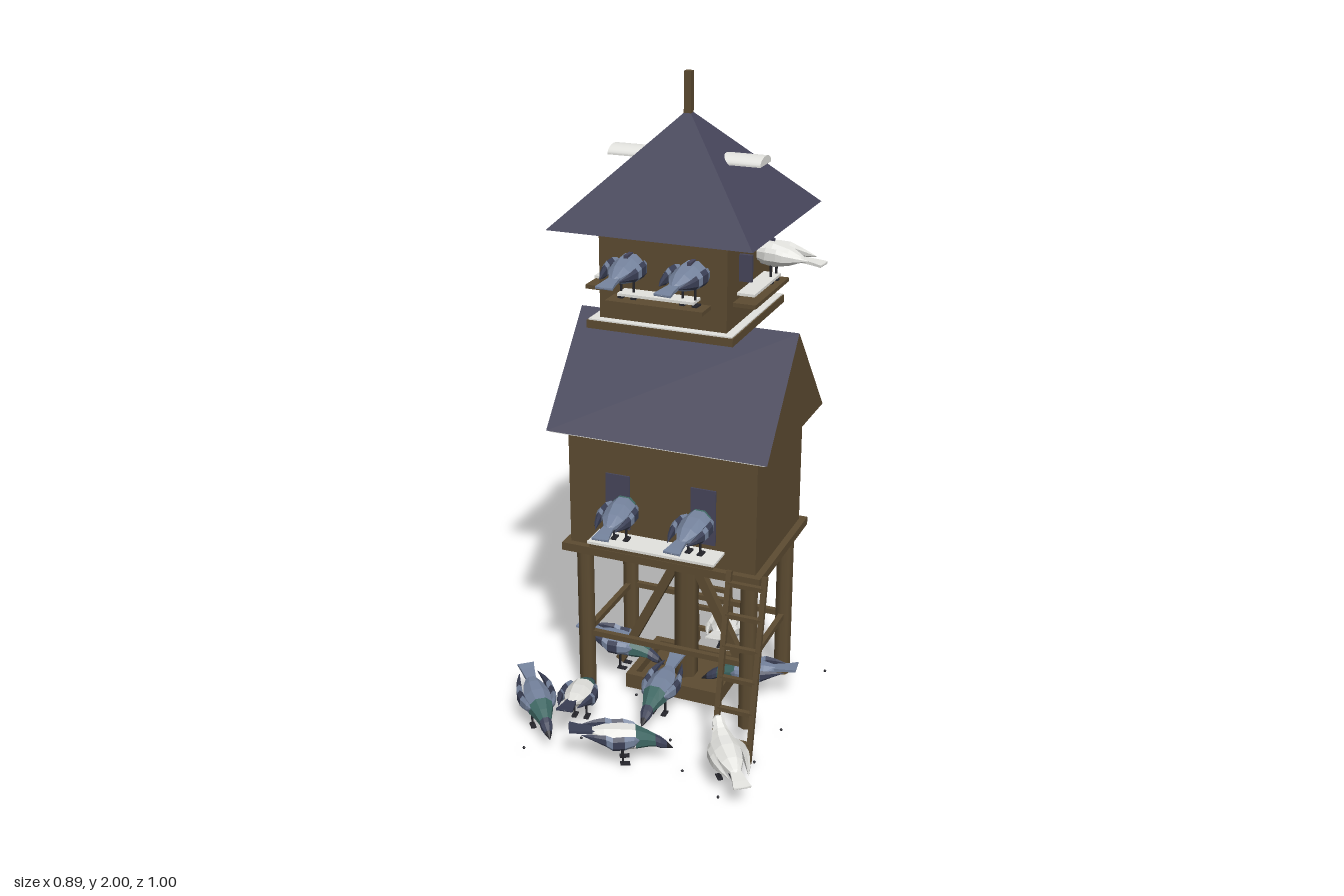
import * as THREE from 'three';

const mat = (name, color) => Object.assign(new THREE.MeshStandardMaterial({ color }), { name });
const wood = mat('brown wood', 0x5c4b31), slate = mat('slate blue', 0x46455a), white = mat('white', 0xe2e2de);
const grey = mat('pigeon grey', 0x74829c), dark = mat('dark feather', 0x3b4056), teal = mat('teal neck', 0x3d6662);
const black = mat('dark leg', 0x26262c);
const CX = 0.012, CZ = -0.106; // centre of the tower

function add(parent, name, geo, material, x = 0, y = 0, z = 0) {
  const m = new THREE.Mesh(geo, material);
  m.name = name;
  m.position.set(x, y, z);
  parent.add(m);
  return m;
}
const box = (p, name, m, w, h, d, x, y, z) => add(p, name, new THREE.BoxGeometry(w, h, d), m, x, y, z);

// straight square bar between two points
function bar(p, name, a, b, t) {
  const A = new THREE.Vector3(...a), B = new THREE.Vector3(...b);
  const m = box(p, name, wood, t, A.distanceTo(B), t, 0, 0, 0);
  m.position.copy(A).add(B).multiplyScalar(0.5);
  m.quaternion.setFromUnitVectors(new THREE.Vector3(0, 1, 0), B.sub(A).normalize());
}

// rectangular frame of four bars
function frame(p, name, m, w, d, h, t, y) {
  for (const s of [-1, 1]) {
    box(p, name, m, w, h, t, 0, y, s * (d - t) / 2);
    box(p, name, m, t, h, d - 2 * t, s * (w - t) / 2, y, 0);
  }
}

function ladder(p, name, x, w, y0, z0, y1, z1, rungs) {
  const g = new THREE.Group();
  g.name = name;
  p.add(g);
  for (const s of [-1, 1]) bar(g, 'ladderRail', [x + s * w / 2, y0, z0], [x + s * w / 2, y1, z1], 0.016);
  for (let i = 1; i <= rungs; i++) {
    const t = (i - 0.4) / rungs;
    box(g, 'ladderRung', wood, w, 0.014, 0.016, x, y0 + (y1 - y0) * t, z0 + (z1 - z0) * t);
  }
}

// faceted loft through elliptical rings [z, y, rx, ry, x]; bands gives the material index of each span
function loft(rings, bands, sides = 8) {
  const pos = [], geo = new THREE.BufferGeometry();
  const pt = (r, j) => {
    const a = (j + 0.5) / sides * Math.PI * 2;
    return [(r[4] || 0) + r[2] * Math.cos(a), r[1] + r[3] * Math.sin(a), r[0]];
  };
  for (let i = 0; i < rings.length - 1; i++) {
    geo.addGroup(pos.length / 3, sides * 6, bands[i]);
    for (let j = 0; j < sides; j++) {
      const a = pt(rings[i], j), b = pt(rings[i], j + 1), c = pt(rings[i + 1], j), d = pt(rings[i + 1], j + 1);
      pos.push(...a, ...b, ...c, ...b, ...d, ...c);
    }
  }
  geo.setAttribute('position', new THREE.Float32BufferAttribute(pos, 3));
  geo.computeVertexNormals();
  return geo;
}

// pigeon facing +z with its feet at y = 0
const coats = {
  grey: { body: grey, neck: teal, head: dark, wing: grey, tip: dark, tail: grey },
  pied: { body: white, neck: teal, head: dark, wing: grey, tip: dark, tail: dark },
  white: { body: white, neck: white, head: white, wing: white, tip: white, tail: white },
};
function pigeon(coat, pecking) {
  const g = new THREE.Group(), c = coats[coat], lift = pecking ? 0.022 : -0.006;
  g.name = 'pigeon';
  const front = pecking
    ? [[0.045, 0.084, 0.042, 0.036], [0.08, 0.076, 0.028, 0.026], [0.105, 0.068, 0.02, 0.019],
      [0.12, 0.06, 0.019, 0.018], [0.14, 0.05, 0.011, 0.011], [0.158, 0.038, 0.001, 0.001]]
    : [[0.04, 0.092, 0.042, 0.038], [0.068, 0.11, 0.029, 0.028], [0.083, 0.128, 0.021, 0.02],
      [0.097, 0.142, 0.02, 0.019], [0.116, 0.14, 0.011, 0.011], [0.137, 0.133, 0.001, 0.001]];
  add(g, 'body', loft([[-0.095, 0.088 + lift, 0.001, 0.001], [-0.085, 0.088 + lift, 0.018, 0.01],
    [-0.05, 0.088 + lift * 0.5, 0.036, 0.027], [0, 0.087, 0.047, 0.039], ...front], [0, 0, 0, 0, 1, 1, 2, 2, 3]),
  [c.body, c.neck, c.head, coat === 'white' ? white : black]);
  for (const s of [-1, 1]) {
    add(g, 'wing', loft([[-0.118, 0.093 + lift, 0.001, 0.001, s * 0.03], [-0.08, 0.093 + lift * 0.8, 0.007, 0.011, s * 0.041],
      [-0.045, 0.092 + lift * 0.5, 0.01, 0.02, s * 0.048], [-0.025, 0.092, 0.011, 0.023, s * 0.05],
      [0.01, 0.092, 0.011, 0.024, s * 0.049], [0.04, 0.092, 0.008, 0.018, s * 0.041], [0.056, 0.092, 0.001, 0.001, s * 0.034]],
    [1, 1, 0, 1, 0, 0], 6), [c.wing, c.tip]);
    add(g, 'leg', new THREE.CylinderGeometry(0.004, 0.004, 0.056, 5), black, s * 0.02, 0.03, 0.005);
    box(g, 'foot', black, 0.016, 0.005, 0.03, s * 0.02, 0.0025, 0.012);
  }
  // tail fan with a darker tip
  add(g, 'tail', loft([[-0.156, 0.086 + lift * 1.8, 0.001, 0.001], [-0.155, 0.086 + lift * 1.8, 0.038, 0.005],
    [-0.13, 0.087 + lift * 1.5, 0.031, 0.006], [-0.07, 0.088 + lift, 0.02, 0.008]], [1, 1, 0], 4), [c.tail, coat === 'grey' ? grey : c.tip]);
  return g;
}

export function createModel() {
  const model = new THREE.Group();
  model.name = 'dovecote';
  const tower = new THREE.Group();
  tower.name = 'tower';
  tower.position.set(CX, 0, CZ);
  model.add(tower);

  // stilts, rails, centre post and struts
  for (const x of [-0.275, 0.275]) for (const z of [-0.175, 0.175])
    add(tower, 'leg', new THREE.CylinderGeometry(0.028, 0.028, 0.53, 8), wood, x, 0.265, z);
  for (const s of [-1, 1]) {
    box(tower, 'rail', wood, 0.55, 0.018, 0.018, 0, 0.22, s * 0.175);
    box(tower, 'rail', wood, 0.018, 0.018, 0.35, s * 0.275, 0.22, 0);
    bar(tower, 'strut', [s * 0.03, 0.44, 0], [s * 0.235, 0.03, 0], 0.03);
  }
  add(tower, 'centrePost', new THREE.CylinderGeometry(0.04, 0.04, 1.28, 6), wood, 0, 0.64, 0);

  // feeding tray on the ground
  frame(tower, 'trayRim', wood, 0.32, 0.26, 0.05, 0.025, 0.035);
  box(tower, 'trayFloor', wood, 0.27, 0.01, 0.21, 0, 0.025, 0);

  // lower house
  box(tower, 'lowerFloor', wood, 0.655, 0.026, 0.467, 0, 0.542, 0);
  box(tower, 'lowerHouse', wood, 0.612, 0.39, 0.422, 0, 0.745, 0);
  const gable = new THREE.Shape([[-0.267, 0], [0.267, 0], [0, 0.318]].map(p => new THREE.Vector2(...p)));
  const roof = new THREE.ExtrudeGeometry(gable, { depth: 0.706, bevelEnabled: false });
  roof.translate(0, 0, -0.353).rotateY(Math.PI / 2);
  add(tower, 'gableRoof', roof, [wood, slate], 0, 0.942, 0);
  frame(tower, 'eaveTrim', white, 0.69, 0.524, 0.005, 0.008, 0.94);
  for (const x of [-0.142, 0.138]) box(tower, 'lowerDoor', slate, 0.08, 0.18, 0.008, x, 0.72, 0.212);
  box(tower, 'lowerPerch', wood, 0.4, 0.012, 0.09, 0, 0.6, 0.255);
  box(tower, 'lowerPerchTop', white, 0.414, 0.008, 0.094, 0, 0.61, 0.256);

  // upper house
  box(tower, 'upperFloor', wood, 0.456, 0.024, 0.456, 0, 1.286, 0);
  box(tower, 'upperFloorTop', white, 0.448, 0.006, 0.448, 0, 1.299, 0);
  box(tower, 'upperHouse', wood, 0.396, 0.29, 0.396, 0, 1.445, 0);
  const cone = new THREE.ConeGeometry(0.311 * Math.SQRT2, 0.312, 4).rotateY(Math.PI / 4).toNonIndexed();
  cone.computeVertexNormals();
  add(tower, 'pyramidRoof', cone, slate, 0, 1.736, 0);
  box(tower, 'finial', wood, 0.022, 0.16, 0.022, 0, 1.92, 0);

  // perches and door leaves on all four sides
  for (let i = 0; i < 4; i++) {
    const side = new THREE.Group();
    side.name = 'upperSide';
    side.rotation.y = i * Math.PI / 2;
    tower.add(side);
    box(side, 'upperPerch', wood, 0.3, 0.012, 0.07, 0, 1.373, 0.232);
    box(side, 'upperPerchTop', white, 0.236, 0.008, 0.055, 0, 1.396, 0.225);
    for (const s of [-1, 1]) box(side, 'doorLeaf', slate, 0.012, 0.08, 0.04, s * 0.097, 1.47, 0.217);
  }

  // rounded white bar passing through the top roof
  const ridge = new THREE.CylinderGeometry(0.047, 0.047, 0.472, 12, 1, false, 0, Math.PI);
  ridge.rotateZ(Math.PI / 2).scale(1, 0.5, 1);
  const skylight = add(tower, 'roofBar', ridge, white, 0, 1.752, 0);
  box(skylight, 'roofBarBase', white, 0.472, 0.004, 0.094, 0, 0, 0);

  // ladders
  ladder(model, 'frontLadder', 0.308, 0.112, 0, 0.265, 0.58, 0.15, 6);
  ladder(model, 'backLadder', 0.015, 0.126, 0, -0.36, 0.53, -0.295, 6);
  ladder(model, 'upperLadder', 0.012, 0.05, 1.12, -0.2, 1.28, -0.17, 2);

  // pigeons: coat, pecking, x, y, z, heading x, heading z
  const flock = [
    ['grey', true, -0.325, 0, 0.31, 0.18, 0.21],
    ['pied', true, -0.215, 0, 0.235, -0.03, -0.2],
    ['pied', true, 0, 0, 0.395, 0.26, -0.13],
    ['white', false, 0.33, 0, 0.36, -0.15, -0.2],
    ['white', true, 0.06, 0, -0.34, -0.02, -0.2],
    ['grey', true, -0.225, 0, -0.11, 1, 0.02],
    ['grey', true, 0.235, 0, -0.1, -1, 0.15],
    ['grey', true, 0.005, 0, 0.1, 0.02, 1],
    ['grey', false, -0.105, 0.614, 0.155, -0.05, -1],
    ['grey', false, 0.138, 0.614, 0.155, 0.05, -1],
    ['grey', false, -0.085, 1.379, 0.125, 0, -1],
    ['grey', false, 0.105, 1.379, 0.125, 0.1, -1],
    ['white', false, 0.255, 1.379, -0.195, -1, -0.1],
  ];
  for (const [coat, peck, x, y, z, hx, hz] of flock) {
    const b = pigeon(coat, peck);
    b.position.set(x, y, z);
    b.rotation.y = Math.atan2(hx, hz);
    model.add(b);
  }

  // scattered grain
  const grain = [[-0.37, -0.18], [0.425, -0.325], [0.4, 0.06], [-0.3, 0.455], [-0.16, 0.34],
    [0.195, 0.38], [0.34, 0.46], [0.38, 0.255], [0.1, 0.245], [-0.1, 0.05], [0.2, 0.1]];
  for (const [x, z] of grain) add(model, 'grain', new THREE.IcosahedronGeometry(0.005, 0), black, x, 0.005, z);
  return model;
}
